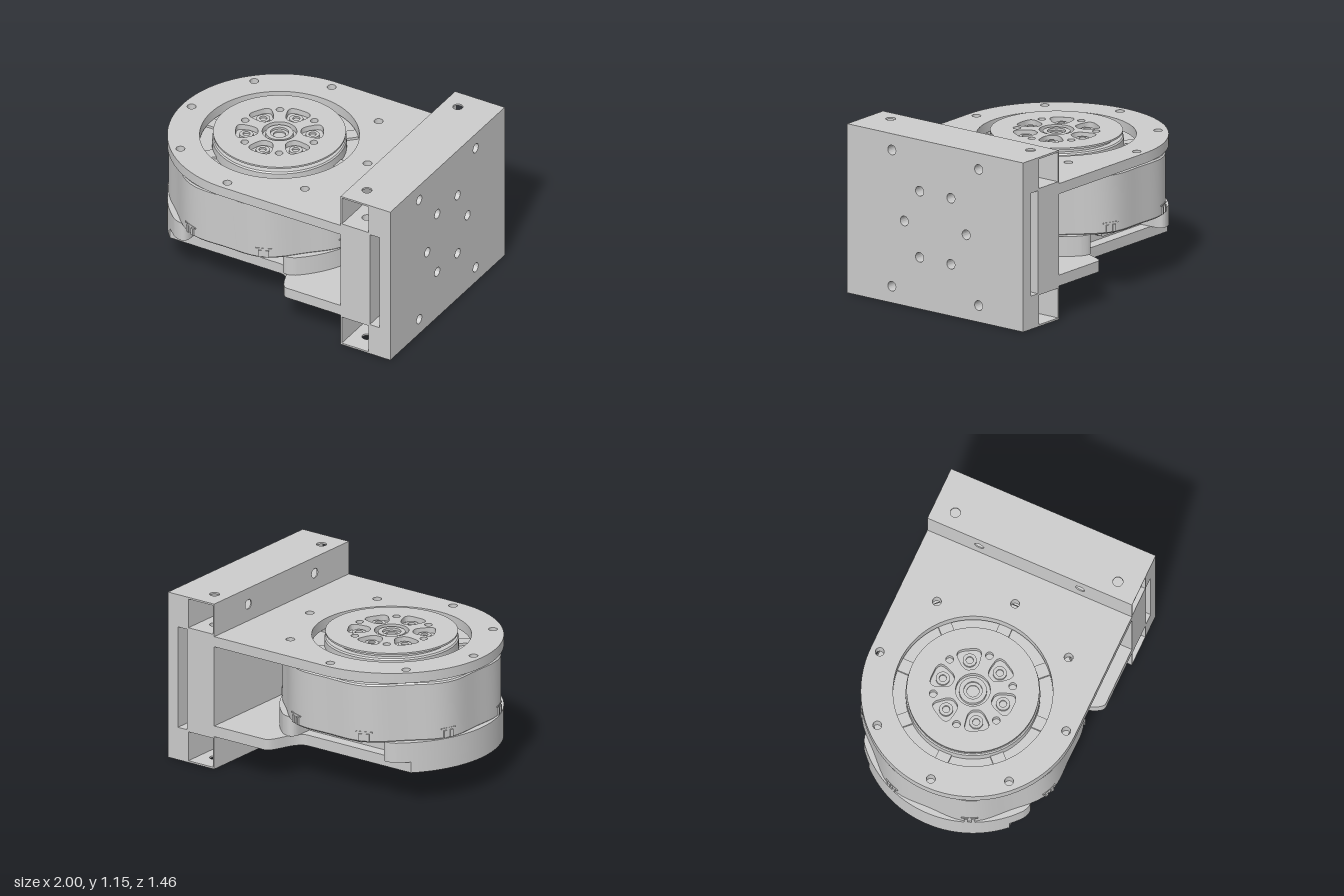
import * as THREE from 'three';
import { toCreasedNormals } from 'three/addons/utils/BufferGeometryUtils.js';

const grey = new THREE.MeshStandardMaterial({ color: 0xcccccc, side: THREE.DoubleSide });
const PI = Math.PI;

function add(parent, name, geometry) {
  const mesh = new THREE.Mesh(geometry, grey);
  mesh.name = name;
  parent.add(mesh);
  return mesh;
}

const circle = (x, y, r) => new THREE.Path().absarc(x, y, r, 0, PI * 2, false);
const polar = (r, a) => [r * Math.cos(a), r * Math.sin(a)];

function rect(x0, y0, x1, y1, holes = []) {
  const s = new THREE.Shape([[x0, y0], [x1, y0], [x1, y1], [x0, y1]].map(p => new THREE.Vector2(...p)));
  s.holes.push(...holes);
  return s;
}

// Polygon with every corner rounded over the fraction f of its edges
function rounded(path, corners, f) {
  const pts = corners.map(p => new THREE.Vector2(...p));
  pts.forEach((p, i) => {
    const a = p.clone().lerp(pts[(i + pts.length - 1) % pts.length], f);
    const b = p.clone().lerp(pts[(i + 1) % pts.length], f);
    if (i) path.lineTo(a.x, a.y); else path.moveTo(a.x, a.y);
    path.quadraticCurveTo(p.x, p.y, b.x, b.y);
  });
  path.closePath();
  return path;
}

function extrude(shape, depth, segments = 32) {
  return new THREE.ExtrudeGeometry(shape, { depth, bevelEnabled: false, curveSegments: segments });
}

// Horizontal slab: shape lies in the floor plane, from y0 up to y1
function flat(parent, name, shape, y0, y1, segments) {
  const g = extrude(shape, y1 - y0, segments).rotateX(-PI / 2).translate(0, y0, 0);
  return add(parent, name, toCreasedNormals(g, 0.5));
}

// Upright slab: shape lies in the z-y plane, from x0 to x1
function upright(parent, name, shape, x0, x1) {
  const g = extrude(shape, x1 - x0).rotateY(PI / 2).translate(x0, 0, 0);
  return add(parent, name, toCreasedNormals(g, 0.5));
}

const revolve = (points, segments) =>
  new THREE.LatheGeometry(points.map(p => new THREE.Vector2(...p)), segments);

function lathe(parent, name, points, segments = 72) {
  return add(parent, name, toCreasedNormals(revolve(points, segments), 0.5));
}

// Circle of radius r with both sides cut off straight at +-w, corners softened
function clippedCircle(r, w) {
  const b = Math.asin(w / r), c = b - 0.2, x = r * Math.cos(b);
  const p = new THREE.Path();
  p.absarc(0, 0, r, -c, c, false);
  p.quadraticCurveTo(x + 0.02, w, x - 0.1, w);
  p.lineTo(0.1 - x, w);
  p.quadraticCurveTo(-x - 0.02, w, ...polar(r, PI - c));
  p.absarc(0, 0, r, PI - c, PI + c, false);
  p.quadraticCurveTo(-x - 0.02, -w, 0.1 - x, -w);
  p.lineTo(x - 0.1, -w);
  p.quadraticCurveTo(x + 0.02, -w, ...polar(r, -c));
  return p;
}

// Rounded triangular pocket, broad side outward
function pocket(a) {
  const at = (u, v) => [u * Math.cos(a) - v * Math.sin(a), u * Math.sin(a) + v * Math.cos(a)];
  return rounded(new THREE.Path(), [at(0.285, -0.095), at(0.285, 0.095), at(0.14, 0.045), at(0.14, -0.045)], 0.4);
}

function buildBracket() {
  const g = new THREE.Group();
  g.name = 'mountingBracket';
  const W = 0.73, H = 1.146, r = 0.033;
  const pair = (z, y) => [circle(-z, y, r), circle(z, y, r)];
  const drops = () => [circle(0.735, 0.58, r), circle(0.735, -0.58, r)];

  upright(g, 'facePlate', rect(-W, 0, W, H, [
    ...pair(0.36, 0.112), ...pair(0.36, 1.035), ...pair(0.13, 0.798), ...pair(0.257, 0.573), ...pair(0.13, 0.35),
  ]), 0.92, 1);
  for (const [y0, y1, hy] of [[0, 0.225, 0.112], [0.922, H, 1.035]]) {
    upright(g, 'rearBar', rect(-W, y0, W, y1, pair(0.36, hy)), 0.835, 0.92);
    upright(g, 'channelWall', rect(-W, y0, W, y1, pair(0.36, hy)), 0.625, 0.634);
  }
  flat(g, 'channelFloor', rect(0.625, -W, 0.835, W, drops()), 0, 0.012);
  flat(g, 'centreBlock', rect(0.625, -W, 0.845, W, drops()), 0.213, 0.935);
  flat(g, 'channelRoof', rect(0.625, -W, 0.835, W, drops()), H - 0.012, H);
  return g;
}

function buildPlates(g) {
  const R = 0.73, end = 0.896;
  const bolts = skip => [...Array(8).keys()].filter(i => !skip || i % 4 !== 2)
    .map(i => circle(...polar(0.665, i * PI / 4), 0.029));

  // Top plate with its round window
  const top = new THREE.Shape();
  top.moveTo(end, -R);
  top.lineTo(end, R);
  top.lineTo(0, R);
  top.absarc(0, 0, R, PI / 2, PI * 1.5, false);
  top.closePath();
  top.holes.push(circle(0, 0, 0.52), ...bolts(false));
  flat(g, 'topPlate', top, 0.85, 0.92, 48);

  // Bottom plate, waisted beside the motor
  const a = Math.asin(0.5 / R);
  const low = new THREE.Shape();
  low.moveTo(end, -R);
  low.lineTo(end, R);
  low.lineTo(0.49, R);
  low.bezierCurveTo(0.41, R, 0.42, 0.5, 0.3, 0.5);
  low.absarc(0, 0, R, PI - a, PI + a, false);
  low.lineTo(0.3, -0.5);
  low.bezierCurveTo(0.42, -0.5, 0.41, -R, 0.49, -R);
  low.closePath();
  low.holes.push(clippedCircle(0.49, 0.37), ...bolts(true));
  flat(g, 'bottomPlate', low, 0.226, 0.3, 48);

  // Motor foot: four rounded pads with cut-outs for the connectors
  const b = Math.acos(0.355 / R) - 0.17;
  const foot = new THREE.Shape();
  foot.absarc(0, 0, R, -b, b, false);
  foot.quadraticCurveTo(0.355, 0.625, 0.355, 0.52);
  foot.lineTo(0.355, 0.42);
  foot.lineTo(-0.355, 0.42);
  foot.lineTo(-0.355, 0.52);
  foot.quadraticCurveTo(-0.355, 0.625, ...polar(R, PI - b));
  foot.absarc(0, 0, R, PI - b, PI + b, false);
  foot.quadraticCurveTo(-0.355, -0.625, -0.355, -0.52);
  foot.lineTo(-0.355, -0.42);
  foot.lineTo(0.355, -0.42);
  foot.lineTo(0.355, -0.52);
  foot.quadraticCurveTo(0.355, -0.625, ...polar(R, -b));
  foot.holes.push(clippedCircle(0.49, 0.37));
  flat(g, 'motorFoot', foot, 0.3, 0.435, 48);
}

function buildMotor(g) {
  // Housing, slightly flattened on eight sides
  const body = revolve([[0, 0.43], [0.7, 0.43], [0.708, 0.44], [0.708, 0.822], [0.7, 0.832], [0, 0.832]], 96);
  const pos = body.attributes.position;
  for (let i = 0; i < pos.count; i++) {
    const k = 1 - 0.024 * Math.cos(8 * Math.atan2(pos.getZ(i), pos.getX(i)));
    pos.setXYZ(i, pos.getX(i) * k, pos.getY(i), pos.getZ(i) * k);
  }
  add(g, 'motorHousing', toCreasedNormals(body, 0.5));

  // Raised ribs on the lid and clips round the lower rim
  for (let i = 0; i < 8; i++) {
    const rib = new THREE.Group();
    rib.name = 'lidRib';
    add(rib, 'ribBar', new THREE.BoxGeometry(0.2, 0.024, 0.09).translate(0.53, 0.837, 0));
    add(rib, 'ribEnd', new THREE.BoxGeometry(0.06, 0.024, 0.16).translate(0.648, 0.837, 0));
    rib.rotation.y = i * PI / 4;
    const clip = new THREE.Group();
    clip.name = 'rimClip';
    for (const s of [-1, 1]) {
      add(clip, 'clipPost', new THREE.BoxGeometry(0.02, 0.05, 0.022).translate(0.722, 0.465, s * 0.024));
    }
    add(clip, 'clipBar', new THREE.BoxGeometry(0.014, 0.008, 0.11).translate(0.72, 0.502, 0));
    clip.rotation.y = (i + 0.5) * PI / 4;
    g.add(rib, clip);
  }

  // Connector sockets front and back
  for (const s of [-1, 1]) {
    const c = new THREE.Group();
    c.name = 'connector';
    const box = (x, y, w, h) => [[x - w, y - h], [x + w, y - h], [x + w, y + h], [x - w, y + h]];
    const rim = rounded(new THREE.Shape(), box(0, 0.384, 0.122, 0.052), 0.12);
    rim.holes.push(rounded(new THREE.Path(), box(0, 0.384, 0.106, 0.037), 0.12));
    add(c, 'socketRim', toCreasedNormals(extrude(rim, 0.06, 6), 0.5)).position.z = 0.41;
    for (const x of [-0.055, 0.015]) {
      add(c, 'pin', new THREE.CylinderGeometry(0.022, 0.022, 0.04, 16).rotateX(PI / 2).translate(x, 0.384, 0.435));
    }
    add(c, 'signalPlug', new THREE.BoxGeometry(0.035, 0.05, 0.03).translate(0.075, 0.384, 0.43));
    c.rotation.y = s < 0 ? PI : 0;
    g.add(c);
  }
}

function buildHub(g) {
  const hub = new THREE.Group();
  hub.name = 'outputHub';
  g.add(hub);
  const disc = r => {
    const s = new THREE.Shape();
    s.absarc(0, 0, r, 0, PI * 2, false);
    s.holes.push(circle(0, 0, 0.113));
    for (let i = 0; i < 6; i++) {
      s.holes.push(pocket(PI / 6 + i * PI / 3), circle(...polar(0.26, i * PI / 3), 0.025));
    }
    return s;
  };
  lathe(hub, 'hubNeck', [[0.438, 0.82], [0.438, 0.9], [0.43, 0.91], [0, 0.91]]);
  flat(hub, 'hubBody', disc(0.39), 0.91, 0.936, 36);
  flat(hub, 'hubFlange', disc(0.432), 0.936, 0.948, 36);

  // Screw seats in the pockets
  for (let i = 0; i < 6; i++) {
    const [x, z] = polar(0.215, PI / 6 + i * PI / 3);
    lathe(hub, 'hubScrew', [[0.045, 0.91], [0.045, 0.928], [0.024, 0.928], [0.024, 0.914], [0, 0.914]], 24)
      .position.set(x, 0, z);
  }
  // Stepped centre bearing
  lathe(hub, 'centreBearing', [[0.09, 0.91], [0.09, 0.94], [0.06, 0.94], [0.06, 0.925],
    [0.04, 0.925], [0.04, 0.914], [0, 0.914]], 40);
}

export function createModel() {
  const model = new THREE.Group();
  model.name = 'motorMount';
  model.add(buildBracket());

  // Everything round the motor axis
  const drive = new THREE.Group();
  drive.name = 'driveUnit';
  drive.position.x = -0.27;
  buildPlates(drive);
  buildMotor(drive);
  buildHub(drive);
  model.add(drive);
  return model;
}
